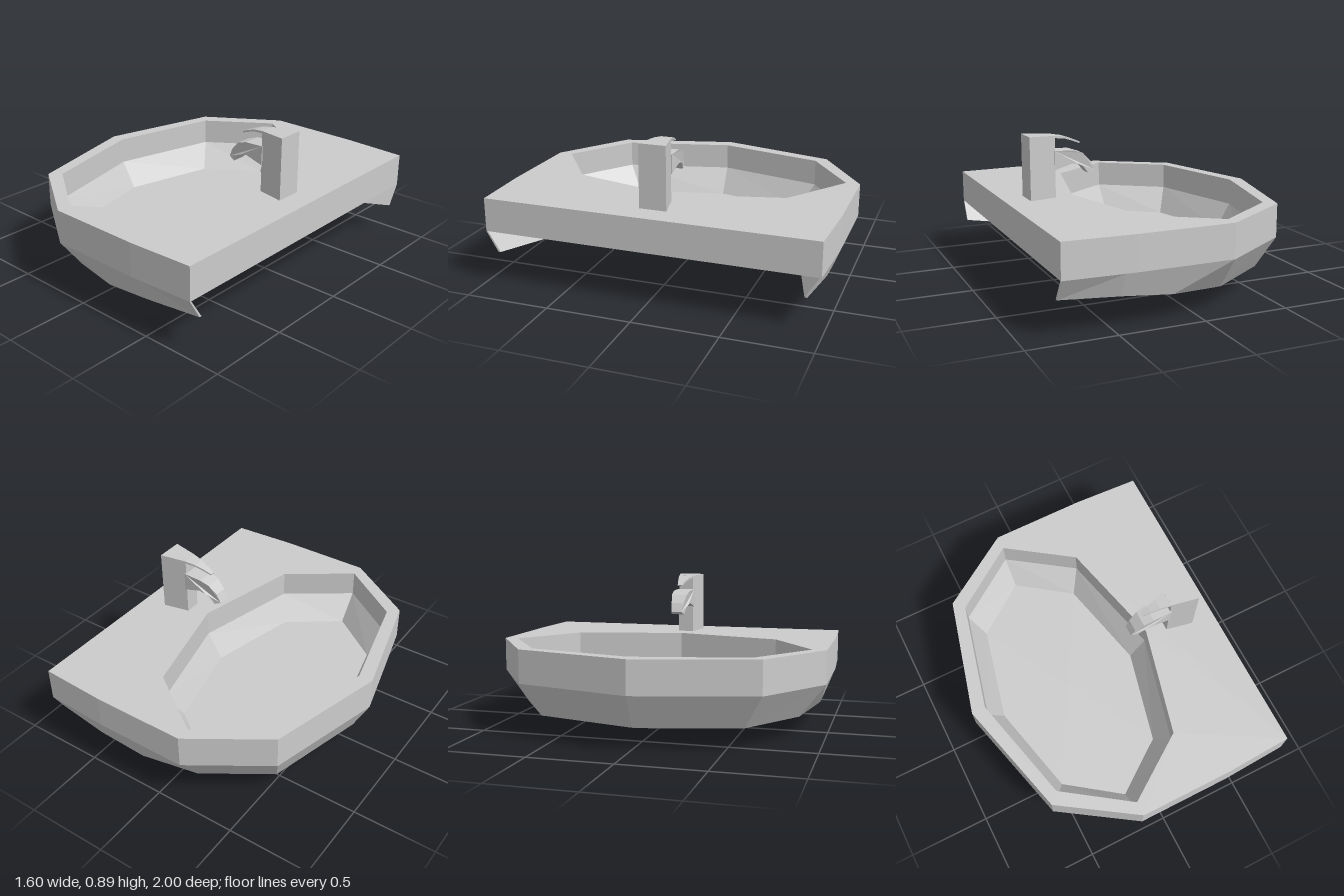
import * as THREE from 'three';

const material = new THREE.MeshStandardMaterial({ color: 0xcccccc, flatShading: true });
const BOWL_X = -0.17;

// Eight-sided ellipse around the bowl centre, as [x, y, z] points
function ring(rx, rz, y) {
  return Array.from({ length: 8 }, (_, i) => {
    const t = (i * Math.PI) / 4;
    return [BOWL_X + rx * Math.cos(t), y, rz * Math.sin(t)];
  });
}

// Faceted skin through closed loops of equal point count
function loft(loops, flip = false) {
  const pos = [];
  const tri = (a, b, c) => pos.push(...a, ...(flip ? c : b), ...(flip ? b : c));
  for (let k = 0; k < loops.length - 1; k++) {
    const a = loops[k], b = loops[k + 1];
    a.forEach((p, i) => {
      const j = (i + 1) % a.length;
      tri(p, a[j], b[j]);
      tri(p, b[j], b[i]);
    });
  }
  const g = new THREE.BufferGeometry();
  g.setAttribute('position', new THREE.Float32BufferAttribute(pos, 3));
  g.computeVertexNormals();
  return g;
}

// Side profile extruded across z, with the half width given as a function of x
function taperedProfile(points, halfWidth) {
  const shape = new THREE.Shape(points.map(([x, y]) => new THREE.Vector2(x, y)));
  const g = new THREE.ExtrudeGeometry(shape, { depth: 2, bevelEnabled: false });
  g.translate(0, 0, -1);
  const p = g.attributes.position;
  for (let i = 0; i < p.count; i++) p.setZ(i, p.getZ(i) * halfWidth(p.getX(i)));
  g.computeVertexNormals();
  return g;
}

export function createModel() {
  const group = new THREE.Group();
  const add = (name, geometry, parent = group) => {
    const mesh = new THREE.Mesh(geometry, material);
    mesh.name = name;
    parent.add(mesh);
  };

  // Countertop slab: half ellipse joined to a straight back, with the basin cut out
  const front = ring(0.63, 1, 0).slice(2, 7).map(([x, , z]) => new THREE.Vector2(x, z));
  const back = [[0.4, -1], [0.8, -0.98], [0.8, 0.98], [0.4, 1]].map(([x, z]) => new THREE.Vector2(x, z));
  const slab = new THREE.Shape([...front, ...back]);
  slab.holes.push(new THREE.Path(ring(0.545, 0.915, 0).map(([x, , z]) => new THREE.Vector2(x, z))));
  const slabGeometry = new THREE.ExtrudeGeometry(slab, { depth: 0.2, bevelEnabled: false });
  slabGeometry.rotateX(-Math.PI / 2).translate(0, 0.32, 0);
  add('countertop', slabGeometry);

  // Basin interior: sloping band and flat floor
  add('basin', loft([ring(0.545, 0.915, 0.36), ring(0.45, 0.79, 0.2), ring(0, 0, 0.2)], true));

  // Underside of the bowl, ending in a shallow point
  add('bowlUnderside', loft([ring(0.63, 1, 0.32), ring(0.53, 0.85, 0.125), ring(0, 0, 0)]));

  // Side skirts: outer top, outer bottom, inner bottom, inner top per section
  const sections = [
    [[-0.17, 0.32, 1], [-0.17, 0.125, 0.85], [0.205, 0.125, 0.6], [0.275, 0.32, 0.707]],
    [[0.16, 0.32, 1], [0.16, 0.152, 0.935], [0.3, 0.141, 0.69], [0.45, 0.32, 0.798]],
    [[0.46, 0.32, 0.997], [0.46, 0.185, 0.945], [0.4, 0.157, 0.785], [0.55, 0.32, 0.85]],
    [[0.8, 0.32, 0.98], [0.8, 0.2, 0.91], [0.8, 0.2, 0.895], [0.8, 0.32, 0.97]],
    Array(4).fill([0.8, 0.26, 0.94]),
  ];
  for (const side of [1, -1]) {
    const loops = sections.map((s) => s.map(([x, y, z]) => [x, y, z * side]));
    add(side > 0 ? 'leftSkirt' : 'rightSkirt', loft(loops, side < 0));
  }

  // Faucet: wedge-shaped post, curved lever and drooping spout
  const faucet = new THREE.Group();
  faucet.name = 'faucet';
  group.add(faucet);
  const wedge = (x) => 0.013 + 0.203 * (x - 0.325);
  add('post', taperedProfile([[0.493, 0.52], [0.657, 0.52], [0.657, 0.893], [0.493, 0.888]], wedge), faucet);
  add('lever', taperedProfile([
    [0.495, 0.874], [0.495, 0.888], [0.43, 0.878], [0.375, 0.86], [0.325, 0.838],
    [0.329, 0.83], [0.38, 0.85], [0.43, 0.866],
  ], wedge), faucet);
  add('spout', taperedProfile([
    [0.5, 0.685], [0.5, 0.8], [0.38, 0.795], [0.32, 0.775], [0.27, 0.725], [0.245, 0.67],
    [0.285, 0.652], [0.32, 0.697], [0.345, 0.71], [0.39, 0.717],
  ], (x) => Math.min(0.055, 0.033 + 0.22 * (x - 0.245))), faucet);

  return group;
}
